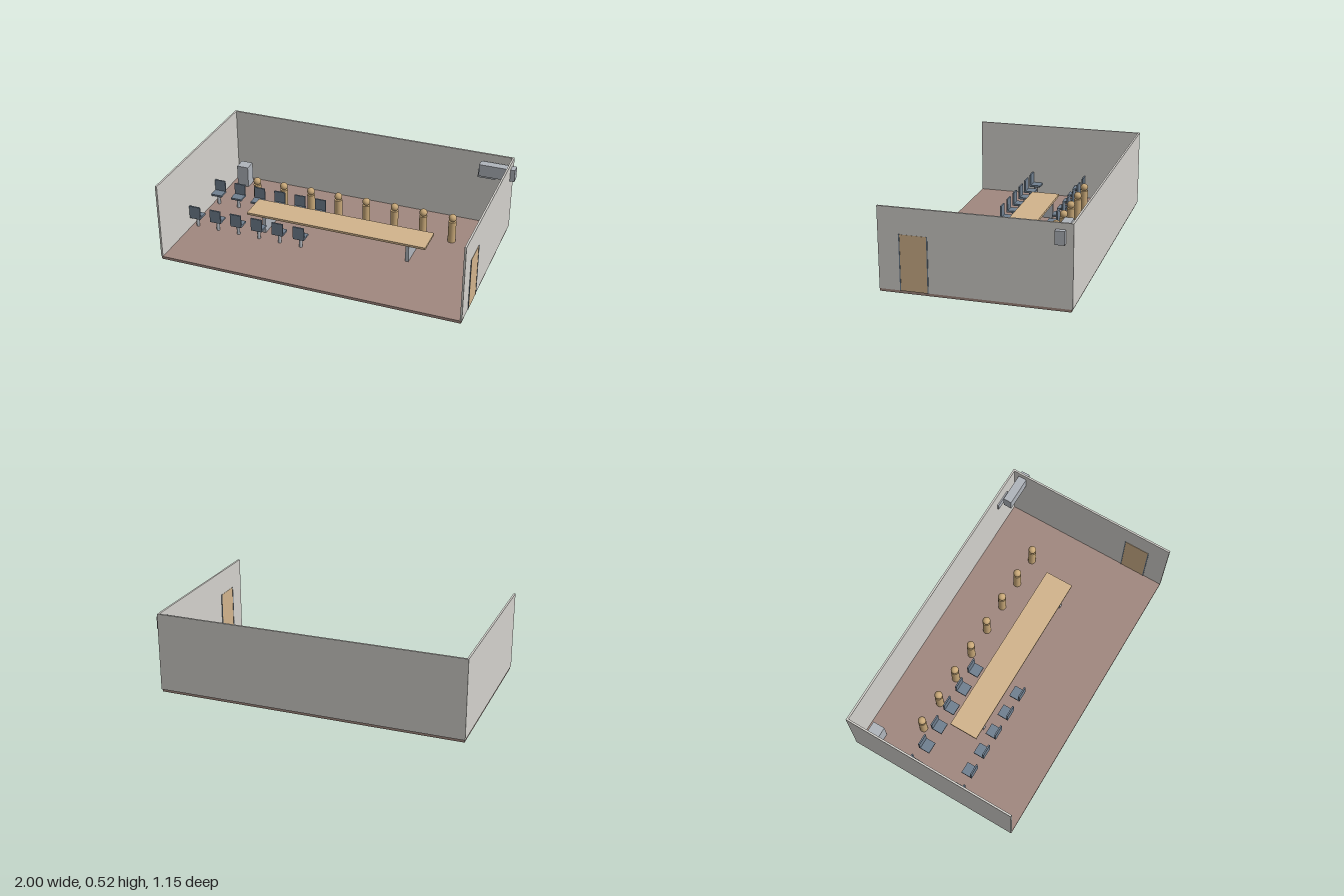
import * as THREE from 'three';

const mat = (name, color) => {
  const m = new THREE.MeshStandardMaterial({ color });
  m.name = name;
  return m;
};

export function createModel() {
  const wall = mat('wallGrey', 0xd3d1cc);
  const floor = mat('floorBrown', 0xa1887f);
  const wood = mat('lightWood', 0xd2b48c);
  const figure = mat('figureTan', 0xc8a878);
  const slate = mat('chairSlate', 0x708090);
  const metal = mat('paleMetal', 0xb0b5bc);

  const model = new THREE.Group();
  model.name = 'meetingRoom';

  const add = (parent, name, geometry, material, x = 0, y = 0, z = 0) => {
    const mesh = new THREE.Mesh(geometry, material);
    mesh.name = name;
    mesh.position.set(x, y, z);
    parent.add(mesh);
    return mesh;
  };
  // box given by its limits on each axis
  const box = (parent, name, material, [x0, x1], [y0, y1], [z0, z1]) =>
    add(parent, name, new THREE.BoxGeometry(x1 - x0, y1 - y0, z1 - z0), material,
      (x0 + x1) / 2, (y0 + y1) / 2, (z0 + z1) / 2);

  // room shell, open at the front and top
  const F = 0.018, H = 0.524;
  box(model, 'floor', floor, [-0.995, 0.965], [0, F], [-0.567, 0.575]);
  box(model, 'backWall', wall, [-1, 0.97], [F, H], [-0.575, -0.563]);
  box(model, 'rightWall', wall, [-1, -0.988], [F, H], [-0.563, 0.575]);
  box(model, 'leftWall', wall, [0.958, 0.97], [F, H], [-0.563, 0.575]);

  // door seen from both sides, with slim posts
  box(model, 'door', wood, [0.956, 0.972], [F, 0.362], [0.278, 0.442]);
  for (const z of [0.276, 0.444])
    box(model, 'doorPost', slate, [0.954, 0.974], [F, 0.364], [z - 0.003, z + 0.003]);

  // corner cabinet, air conditioner through the wall and vent panel
  box(model, 'cabinet', metal, [-0.94, -0.859], [F, 0.168], [-0.516, -0.435]);
  box(model, 'airConditioner', metal, [0.766, 1], [0.404, 0.486], [-0.53, -0.474]);
  box(model, 'ventPanel', metal, [0.742, 0.86], [0.35, 0.405], [-0.563, -0.554]);

  // long table on two panel legs
  const table = new THREE.Group();
  table.name = 'table';
  model.add(table);
  box(table, 'tableTop', wood, [-0.62, 0.594], [0.137, 0.152], [-0.096, 0.095]);
  for (const x of [-0.506, 0.473])
    box(table, 'tableLeg', metal, [x - 0.011, x + 0.011], [F, 0.137], [-0.083, 0.083]);

  // two rows of pedestal chairs facing the table
  const postGeo = new THREE.CylinderGeometry(0.011, 0.011, 0.072, 16);
  for (const side of [-1, 1]) {
    for (let i = 0; i < 6; i++) {
      const chair = new THREE.Group();
      chair.name = 'chair';
      chair.position.set(-0.95 + i * 0.1466, 0, side * 0.157);
      if (side < 0) chair.rotation.y = Math.PI;
      box(chair, 'seat', slate, [-0.038, 0.038], [0.089, 0.102], [-0.037, 0.037]);
      box(chair, 'backrest', slate, [-0.038, 0.038], [0.091, 0.179], [0.028, 0.038]);
      add(chair, 'chairPost', postGeo, metal, 0, F + 0.036, 0);
      model.add(chair);
    }
  }

  // row of simple standing figures behind the table
  const bodyGeo = new THREE.CylinderGeometry(0.0255, 0.0255, 0.149, 24);
  const headGeo = new THREE.SphereGeometry(0.0255, 24, 16);
  for (let i = 0; i < 8; i++) {
    const person = new THREE.Group();
    person.name = 'figure';
    person.position.set(-0.702 + i * 0.1958, 0, -0.253);
    add(person, 'body', bodyGeo, figure, 0, F + 0.0745, 0);
    add(person, 'head', headGeo, figure, 0, 0.19, 0);
    model.add(person);
  }
  return model;
}
